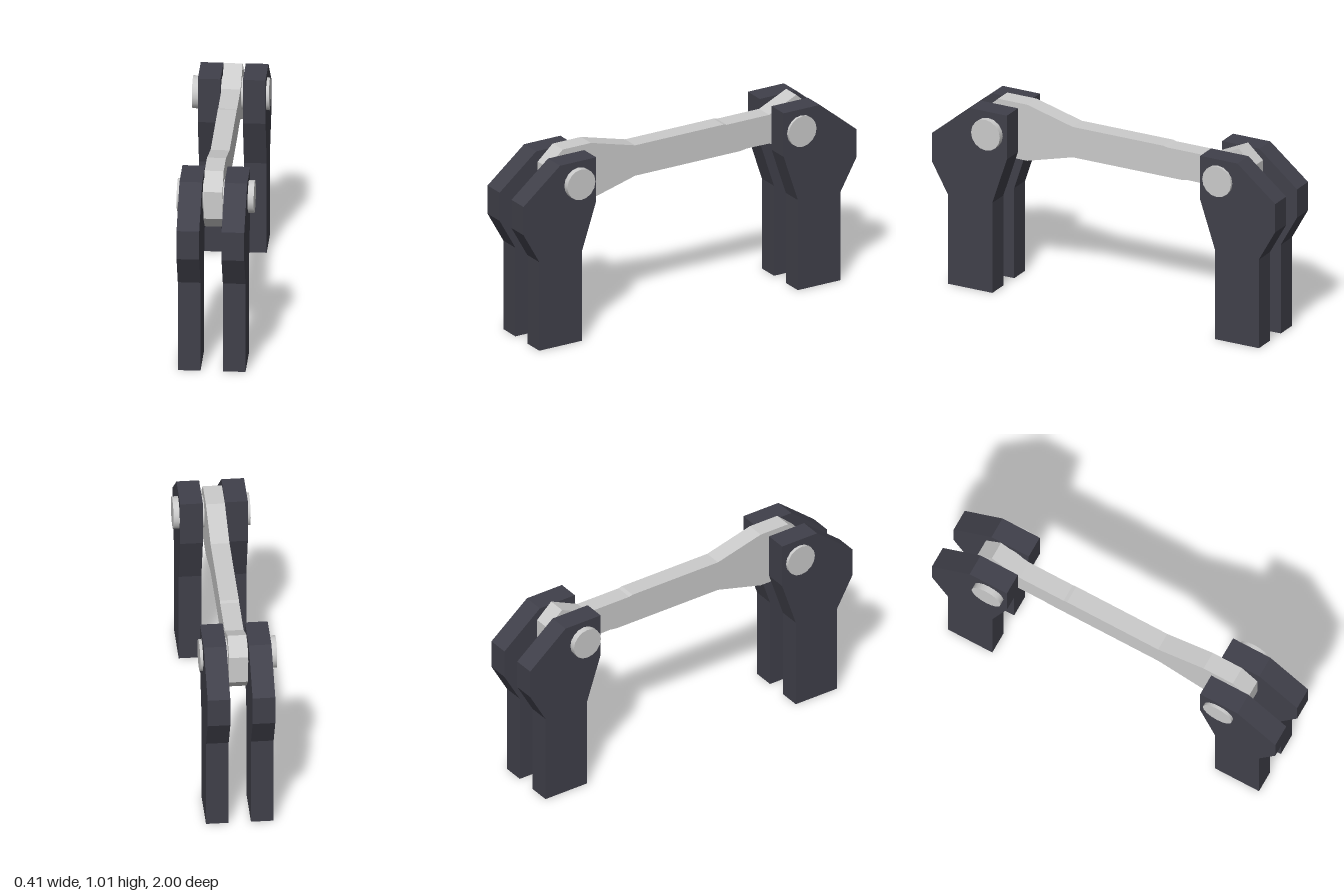
import * as THREE from 'three';

const steel = new THREE.MeshStandardMaterial({ color: 0xcccccc });
const dark = new THREE.MeshStandardMaterial({ color: 0x40404a });

// Slab with a (z, y) outline, spanning x0..x1
function slab(name, outline, x0, x1, material) {
  const shape = new THREE.Shape(outline.map(([z, y]) => new THREE.Vector2(z, y)));
  const geometry = new THREE.ExtrudeGeometry(shape, { depth: x1 - x0, bevelEnabled: false });
  geometry.rotateY(-Math.PI / 2).translate(x1, 0, 0);
  const mesh = new THREE.Mesh(geometry, material);
  mesh.name = name;
  return mesh;
}

// Round pin along x
function pin(name, z, x0, x1) {
  const geometry = new THREE.CylinderGeometry(0.084, 0.084, x1 - x0, 16);
  geometry.rotateZ(Math.PI / 2).translate((x0 + x1) / 2, 0.873, z);
  const mesh = new THREE.Mesh(geometry, steel);
  mesh.name = name;
  return mesh;
}

export function createModel() {
  const model = new THREE.Group();
  model.name = 'linkedBrackets';

  // Pairs of upright bracket plates, mirrored front to back
  const plate = [
    [0.905, 0], [1, 0.655], [1, 0.81], [0.78, 0.99], [0.563, 0.99],
    [0.563, 0.75], [0.648, 0.495], [0.648, 0],
  ];
  plate.splice(1, 0, [0.905, 0.487]);
  for (const [end, s] of [['front', 1], ['back', -1]]) {
    const bracket = new THREE.Group();
    bracket.name = end + 'Bracket';
    const outline = plate.map(([z, y]) => [z * s, y]);
    bracket.add(
      slab('leftPlate', outline, 0.057, 0.173, dark),
      slab('rightPlate', outline, -0.173, -0.057, dark),
    );
    model.add(bracket);
  }

  // Connecting rod with a long flared head in front and a short one behind
  const rod = [
    [0.775, 0.787], [0.775, 0.935], [0.685, 1.015], [0.515, 1.015], [0.25, 0.945],
    [-0.28, 0.945], [-0.3, 0.94], [-0.555, 0.94], [-0.718, 1.015], [-0.805, 0.935],
    [-0.805, 0.787], [-0.718, 0.707], [-0.555, 0.782], [-0.4, 0.785], [-0.41, 0.778],
    [0.25, 0.778], [0.515, 0.707], [0.685, 0.707],
  ];
  [rod[13], rod[14]] = [[-0.42, 0.784], [-0.38, 0.778]];
  model.add(slab('connectingRod', rod, -0.051, 0.046, steel));

  // Pivot pins, each standing out a little more on one side
  model.add(pin('frontPin', 0.671, -0.19, 0.204), pin('backPin', -0.667, -0.205, 0.188));
  return model;
}
